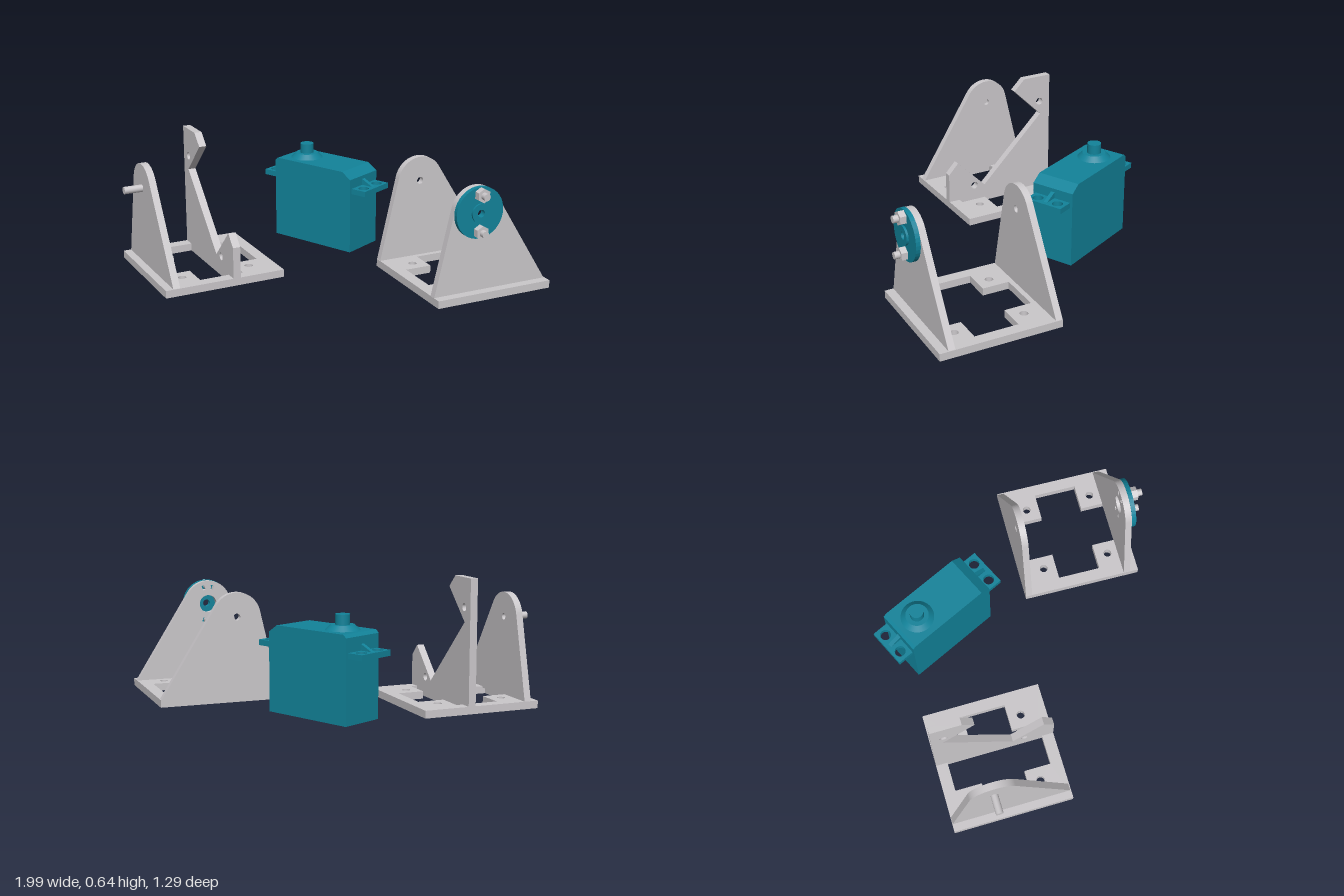
import * as THREE from 'three';

const grey = new THREE.MeshStandardMaterial({ color: 0xcbc8cb });
grey.name = 'lightGrey';
const teal = new THREE.MeshStandardMaterial({ color: 0x12839a });
teal.name = 'teal';

const PIVOT = [-0.085, 0.42]; // centre of the rounded wall tops
const BASE = 0.037;

function add(parent, name, geometry, material, x = 0, y = 0, z = 0) {
  const m = new THREE.Mesh(geometry, material);
  m.name = name;
  m.position.set(x, y, z);
  parent.add(m);
  return m;
}

const extrude = (shape, depth) =>
  new THREE.ExtrudeGeometry(shape, { depth, bevelEnabled: false, curveSegments: 20 });

const polygon = pts => new THREE.Shape(pts.map(p => new THREE.Vector2(...p)));

function circle(x, y, r) {
  return new THREE.Path().absarc(x, y, r, 0, Math.PI * 2, false);
}

// Square mounting plate with a cross-shaped opening and four screw holes
function basePlate(parent) {
  const s = 0.3, a = 0.242, b = 0.108;
  const shape = polygon([[-s, -s], [s, -s], [s, s], [-s, s]]);
  shape.holes.push(polygon([[-b, -a], [b, -a], [b, -b], [a, -b], [a, b], [b, b],
    [b, a], [-b, a], [-b, b], [-a, b], [-a, -b], [-b, -b]]));
  for (const x of [-0.172, 0.172])
    for (const y of [-0.172, 0.172]) shape.holes.push(circle(x, y, 0.02));
  add(parent, 'basePlate', extrude(shape, BASE).rotateX(-Math.PI / 2), grey);
}

// Tapering wall whose sides run tangent to a rounded top
function wallShape() {
  const [cx, cy] = PIVOT, r = 0.12, y0 = 0.03;
  const tangent = (x, sign) => {
    const dx = x - cx, dy = y0 - cy;
    return Math.atan2(dy, dx) + sign * Math.acos(r / Math.hypot(dx, dy));
  };
  const shape = new THREE.Shape();
  shape.moveTo(-0.3, y0);
  shape.lineTo(0.3, y0);
  shape.absarc(cx, cy, r, tangent(0.3, 1), tangent(-0.3, -1) + Math.PI * 2, false);
  shape.closePath();
  return shape;
}

// Curved slot around the pivot, centred on angle mid
function arcSlot(mid) {
  const [cx, cy] = PIVOT, h = 0.35;
  const path = new THREE.Path();
  path.absarc(cx, cy, 0.1, mid - h, mid + h, false);
  path.absarc(cx, cy, 0.076, mid + h, mid - h, true);
  path.closePath();
  return path;
}

// Two-walled bracket carrying the round horn
function hornBracket() {
  const g = new THREE.Group();
  g.name = 'hornBracket';
  basePlate(g);
  const [px, py] = PIVOT;

  const back = wallShape();
  back.holes.push(circle(px, py, 0.017));
  add(g, 'backWall', extrude(back, 0.033), grey, 0, 0, -0.3);

  const front = wallShape();
  front.holes.push(circle(px, py, 0.045), arcSlot(Math.PI / 2), arcSlot(-Math.PI / 2));
  add(g, 'frontWall', extrude(front, 0.033), grey, 0, 0, 0.224);

  // Horn disc with a raised hub
  for (const [name, r, depth, z] of [['hornDisc', 0.122, 0.022, 0.257], ['hornHub', 0.045, 0.01, 0.279]]) {
    const disc = new THREE.Shape().absarc(0, 0, r, 0, Math.PI * 2, false);
    disc.holes.push(circle(0, 0, 0.018));
    add(g, name, extrude(disc, depth), teal, px, py, z);
  }

  // Screws with hexagonal nuts
  for (const s of [-1, 1]) {
    const y = py + s * 0.088;
    add(g, 'hornScrew', new THREE.CylinderGeometry(0.017, 0.017, 0.11, 16).rotateX(Math.PI / 2), grey, px, y, 0.279);
    const nut = new THREE.CylinderGeometry(0.034, 0.034, 0.03, 6).toNonIndexed();
    nut.computeVertexNormals();
    add(g, 'hornNut', nut.rotateX(Math.PI / 2), grey, px, y, 0.294);
  }
  g.position.set(0.617, 0, 0.263);
  g.rotation.y = THREE.MathUtils.degToRad(18.3);
  return g;
}

// Bracket with a pivot pin and a notched wall that holds the motor
function motorBracket() {
  const g = new THREE.Group();
  g.name = 'motorBracket';
  basePlate(g);

  const pinWall = wallShape();
  pinWall.holes.push(circle(...PIVOT, 0.016));
  add(g, 'pinWall', extrude(pinWall, 0.034), grey, -0.228).rotation.y = -Math.PI / 2;
  add(g, 'pivotPin', new THREE.CylinderGeometry(0.018, 0.018, 0.105, 16).rotateZ(Math.PI / 2),
    grey, -0.3, PIVOT[1], PIVOT[0]);

  const holder = polygon([[-0.3, 0], [0.3, 0], [0.3, 0.19], [0.247, 0.247], [0.092, 0.092],
    [-0.246, 0.43], [-0.09, 0.583], [-0.148, 0.64], [-0.3, 0.64]]);
  holder.holes.push(circle(-0.24, 0.5, 0.019), circle(0.152, 0.1, 0.019));
  add(g, 'notchedWall', extrude(holder, 0.037), grey, 0.075).rotation.y = -Math.PI / 2;

  g.position.set(-0.612, 0, -0.02);
  g.rotation.y = THREE.MathUtils.degToRad(20);
  return g;
}

// Boxy motor with mounting ears and an output shaft
function motor() {
  const g = new THREE.Group();
  g.name = 'motor';
  const W = 0.222, L = 0.24;
  const body = polygon([[-L, 0.01], [L, 0.01], [L, 0.39], [L - 0.05, 0.424], [-L + 0.015, 0.424], [-L, 0.409]]);
  add(g, 'motorBody', extrude(body, W), teal, 0, 0, -W / 2);

  for (const s of [-1, 1]) {
    const ear = polygon([[0, -0.098], [0.092, -0.098], [0.092, 0.098], [0, 0.098]]);
    for (const y of [-0.055, 0.055]) ear.holes.push(circle(0.052, y, 0.026));
    const e = add(g, 'mountingEar', extrude(ear, 0.027).rotateX(-Math.PI / 2), teal, s * 0.23, 0.315);
    const rib = polygon([[0, 0], [0.07, 0], [0, 0.035]]);
    const r = add(g, 'earRib', extrude(rib, 0.02).translate(0, 0, -0.01), teal, s * 0.235, 0.34);
    if (s < 0) e.rotation.y = r.rotation.y = Math.PI;
  }
  add(g, 'shaftBoss', new THREE.CylinderGeometry(0.056, 0.081, 0.024, 32), teal, -0.121, 0.436);
  add(g, 'outputShaft', new THREE.CylinderGeometry(0.034, 0.034, 0.08, 32), teal, -0.121, 0.456);
  g.position.set(0.038, 0, -0.352);
  g.rotation.y = -Math.PI / 4;
  return g;
}

export function createModel() {
  const model = new THREE.Group();
  model.name = 'panTiltKit';
  model.add(motorBracket(), motor(), hornBracket());
  return model;
}
